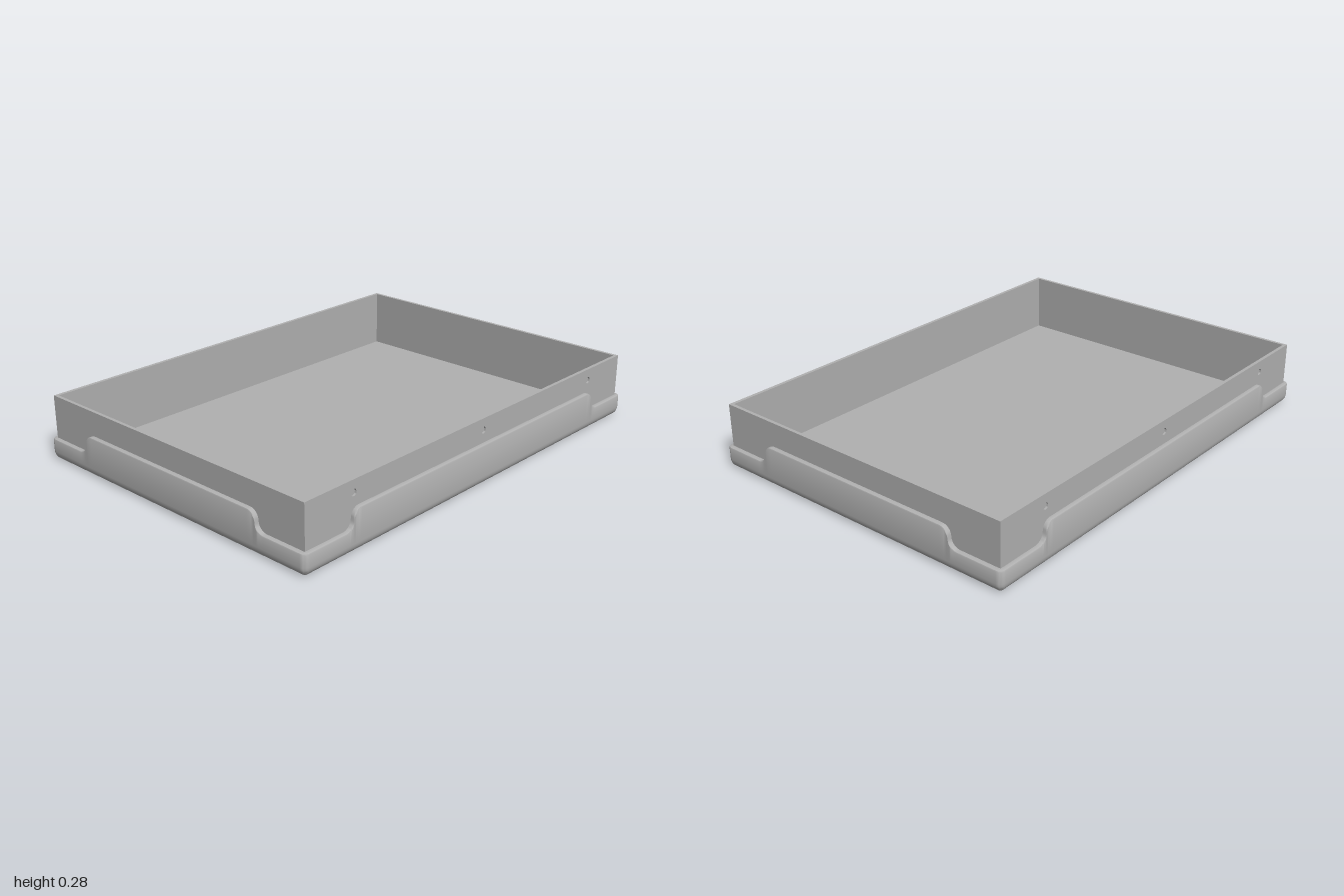
import * as THREE from 'three';
import { toCreasedNormals } from 'three/addons/utils/BufferGeometryUtils.js';

const HX = 0.725, HZ = 1, R = 0.025; // outer half sizes and corner radius
const LOW = 0.092, HIGH = 0.172, F = 0.04; // skirt heights and step fillet

// Top edge of half a side: distance from the middle and height, outside in
function stepPoints(e) {
  const pts = [];
  for (let i = 0; i <= 8; i++) {
    const a = (i / 8) * Math.PI / 2;
    pts.push([e + F - F * Math.sin(a), LOW + F - F * Math.cos(a)]);
  }
  for (let i = 1; i <= 8; i++) {
    const a = (i / 8) * Math.PI / 2;
    pts.push([e - F * (1 - Math.cos(a)), HIGH - F + F * Math.sin(a)]);
  }
  return pts;
}

// Columns all round the pan, each giving a plan position for any inset and a top height
function columns() {
  const sides = [
    { n: [0, 1], u: [1, 0], out: HZ, half: HX, e: 0.485 },
    { n: [1, 0], u: [0, -1], out: HX, half: HZ, e: 0.755 },
    { n: [0, -1], u: [-1, 0], out: HZ, half: HX, e: 0.485 },
    { n: [-1, 0], u: [0, 1], out: HX, half: HZ, e: 0.755 },
  ];
  const cols = [];
  for (const { n, u, out, half, e } of sides) {
    const at = (t, d) => [u[0] * t + n[0] * d, u[1] * t + n[1] * d];
    const steps = stepPoints(e);
    for (const [t, y] of steps) cols.push({ top: y, pos: (i) => at(-t, out - i) });
    for (const [t, y] of steps.reverse()) cols.push({ top: y, pos: (i) => at(t, out - i) });
    for (let k = 0; k <= 6; k++) {
      const a = (k / 6) * Math.PI / 2;
      cols.push({
        top: LOW,
        pos: (i) => {
          const r = Math.max(R - i, 0.004);
          return at(half - i - r + r * Math.sin(a), out - i - r + r * Math.cos(a));
        },
      });
    }
  }
  return cols;
}

// Pan with rounded bottom edge, stepped skirt and softened lip
function panGeometry() {
  const rows = [];
  for (let k = 0; k <= 6; k++) {
    const a = (k / 6) * Math.PI / 2;
    rows.push([0.03 * (1 - Math.sin(a)), () => 0.038 * (1 - Math.cos(a))]);
  }
  rows.push([0, (top) => top - 0.006], [0.002, (top) => top - 0.002], [0.006, (top) => top],
    [0.019, (top) => top], [0.019, () => 0.02]);
  const cols = columns(), n = cols.length, pos = [], index = [];
  for (const [inset, height] of rows) {
    for (const c of cols) {
      const [x, z] = c.pos(inset);
      pos.push(x, height(c.top), z);
    }
  }
  for (let r = 0; r < rows.length - 1; r++) {
    for (let j = 0; j < n; j++) {
      const a = r * n + j, b = r * n + (j + 1) % n;
      index.push(a, b, b + n, a, b + n, a + n);
    }
  }
  // underside
  const centre = pos.length / 3;
  pos.push(0, 0, 0);
  for (let j = 0; j < n; j++) index.push(centre, (j + 1) % n, j);
  const g = new THREE.BufferGeometry();
  g.setAttribute('position', new THREE.Float32BufferAttribute(pos, 3));
  g.setIndex(index);
  return toCreasedNormals(g, 0.6);
}

function rect(path, hx, hy) {
  path.moveTo(-hx, -hy);
  path.lineTo(hx, -hy);
  path.lineTo(hx, hy);
  path.lineTo(-hx, hy);
  path.closePath();
  return path;
}

export function createModel() {
  const group = new THREE.Group();
  const grey = new THREE.MeshStandardMaterial({ color: 0xb0b0b0 });
  grey.name = 'grey metal';
  const add = (name, geometry) => {
    const mesh = new THREE.Mesh(geometry, grey);
    mesh.name = name;
    group.add(mesh);
    return mesh;
  };

  add('outerPan', panGeometry());

  const floor = add('floor', new THREE.BoxGeometry(1.4, 0.016, 1.95));
  floor.position.y = 0.012;

  // Upright walls of the inner tray
  const frame = rect(new THREE.Shape(), 0.699, 0.98);
  frame.holes.push(rect(new THREE.Path(), 0.692, 0.966));
  const walls = new THREE.ExtrudeGeometry(frame, { depth: 0.255, bevelEnabled: false });
  walls.rotateX(-Math.PI / 2);
  add('trayWalls', walls).position.y = 0.02;

  // Side plates with three shallow round holes each
  const plate = rect(new THREE.Shape(), 0.98, 0.1275);
  for (const z of [-0.74, 0, 0.74]) {
    plate.holes.push(new THREE.Path().absarc(z, 0.0775, 0.014, 0, Math.PI * 2, true));
  }
  const plateGeometry = toCreasedNormals(
    new THREE.ExtrudeGeometry(plate, { depth: 0.008, bevelEnabled: false, curveSegments: 20 }), 0.6);
  for (const s of [-1, 1]) {
    const side = add(s > 0 ? 'leftSidePlate' : 'rightSidePlate', plateGeometry);
    side.rotation.y = s * Math.PI / 2;
    side.position.set(s * 0.699, 0.1475, 0);
  }
  return group;
}
